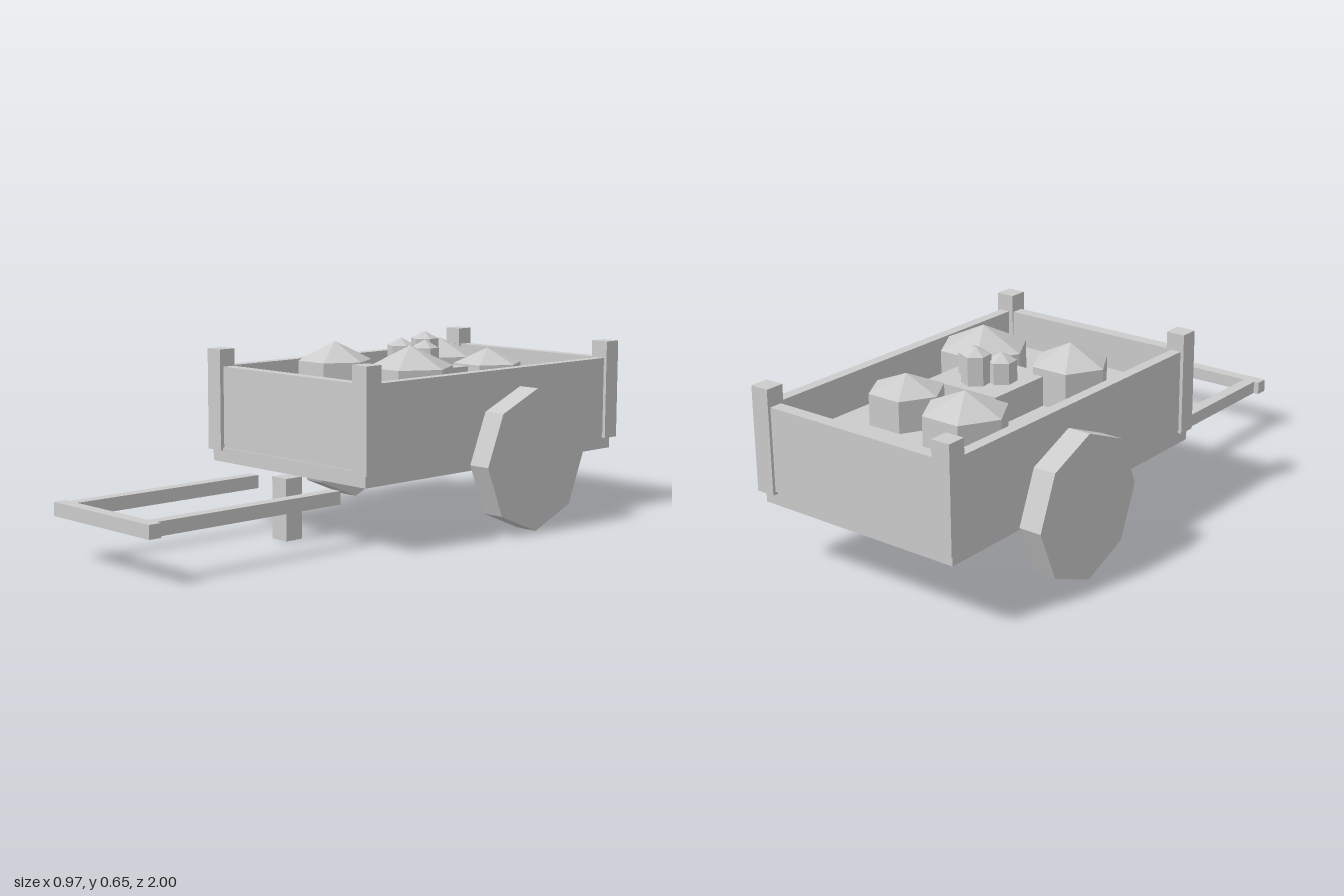
import * as THREE from 'three';

const material = new THREE.MeshStandardMaterial({ color: 0xcccccc, flatShading: true });

export function createModel() {
  const cart = new THREE.Group();
  cart.name = 'handcart';

  const add = (name, geometry, parent = cart) => {
    const mesh = new THREE.Mesh(geometry, material);
    mesh.name = name;
    parent.add(mesh);
    return mesh;
  };

  // Box given by its minimum and maximum on each axis
  const box = (name, [x0, x1], [y0, y1], [z0, z1]) => {
    const mesh = add(name, new THREE.BoxGeometry(x1 - x0, y1 - y0, z1 - z0));
    mesh.position.set((x0 + x1) / 2, (y0 + y1) / 2, (z0 + z1) / 2);
    return mesh;
  };

  // Cart bed: floor, end walls and the raised load inside
  box('floor', [-0.38, 0.38], [0.22, 0.27], [-0.98, 0.25]);
  box('frontWall', [-0.345, 0.345], [0.27, 0.55], [0.2, 0.245]);
  box('backWall', [-0.345, 0.345], [0.27, 0.55], [-0.99, -0.945]);
  box('loadBed', [-0.32, 0.32], [0.27, 0.435], [-0.93, 0.185]);
  box('crate', [-0.14, 0.14], [0.435, 0.535], [-0.48, -0.205]);

  // Axle, running through to both wheels
  box('axle', [-0.41, 0.41], [0.22, 0.275], [-0.485, -0.43]);

  // Mirrored parts: side walls, corner posts, wheels, handle rails
  for (const [side, label] of [[1, 'left'], [-1, 'right']]) {
    const span = (a, b) => (side > 0 ? [a, b] : [-b, -a]);
    box(label + 'Wall', span(0.345, 0.383), [0.27, 0.55], [-0.98, 0.24]);
    box(label + 'FrontPost', span(0.328, 0.395), [0.26, 0.61], [0.195, 0.26]);
    box(label + 'BackPost', span(0.328, 0.395), [0.26, 0.61], [-1, -0.935]);
    box(label + 'HandleRail', span(0.183, 0.227), [0.143, 0.188], [0.215, 0.955]);

    const wheel = add(label + 'Wheel', new THREE.CylinderGeometry(0.245, 0.245, 0.08, 8));
    wheel.rotation.z = Math.PI / 2;
    wheel.position.set(side * 0.445, 0.245, -0.455);
  }

  // Handle crossbar and the prop leg under the front
  box('handleCrossbar', [-0.247, 0.247], [0.143, 0.188], [0.955, 1]);
  box('propLeg', [-0.035, 0.035], [0, 0.21], [0.21, 0.28]);

  // Six-sided containers with pointed lids
  const container = (name, x, z, radius, base, rim, peak, turn) => {
    const group = new THREE.Group();
    group.name = name;
    group.position.set(x, base, z);
    group.rotation.y = turn;
    cart.add(group);
    const body = add('body', new THREE.CylinderGeometry(radius, radius, rim - base, 6), group);
    body.position.y = (rim - base) / 2;
    const lid = add('lid', new THREE.ConeGeometry(radius, peak - rim, 6), group);
    lid.position.y = (rim + peak) / 2 - base;
  };

  const large = [
    [0.163, -0.167, 0.152, 0.56, 0.632],
    [-0.165, -0.125, 0.131, 0.56, 0.626],
    [-0.148, -0.635, 0.14, 0.545, 0.608],
    [0.127, -0.595, 0.125, 0.54, 0.592],
  ];
  for (const [x, z, r, rim, peak] of large) {
    container('largeContainer', x, z, r, 0.435, rim, peak, Math.PI / 6);
  }

  const small = [
    [0, -0.405, 0.63, 0.655],
    [-0.057, -0.345, 0.605, 0.632],
    [0.06, -0.345, 0.605, 0.632],
  ];
  for (const [x, z, rim, peak] of small) {
    container('smallContainer', x, z, 0.049, 0.535, rim, peak, 0.12);
  }

  return cart;
}
